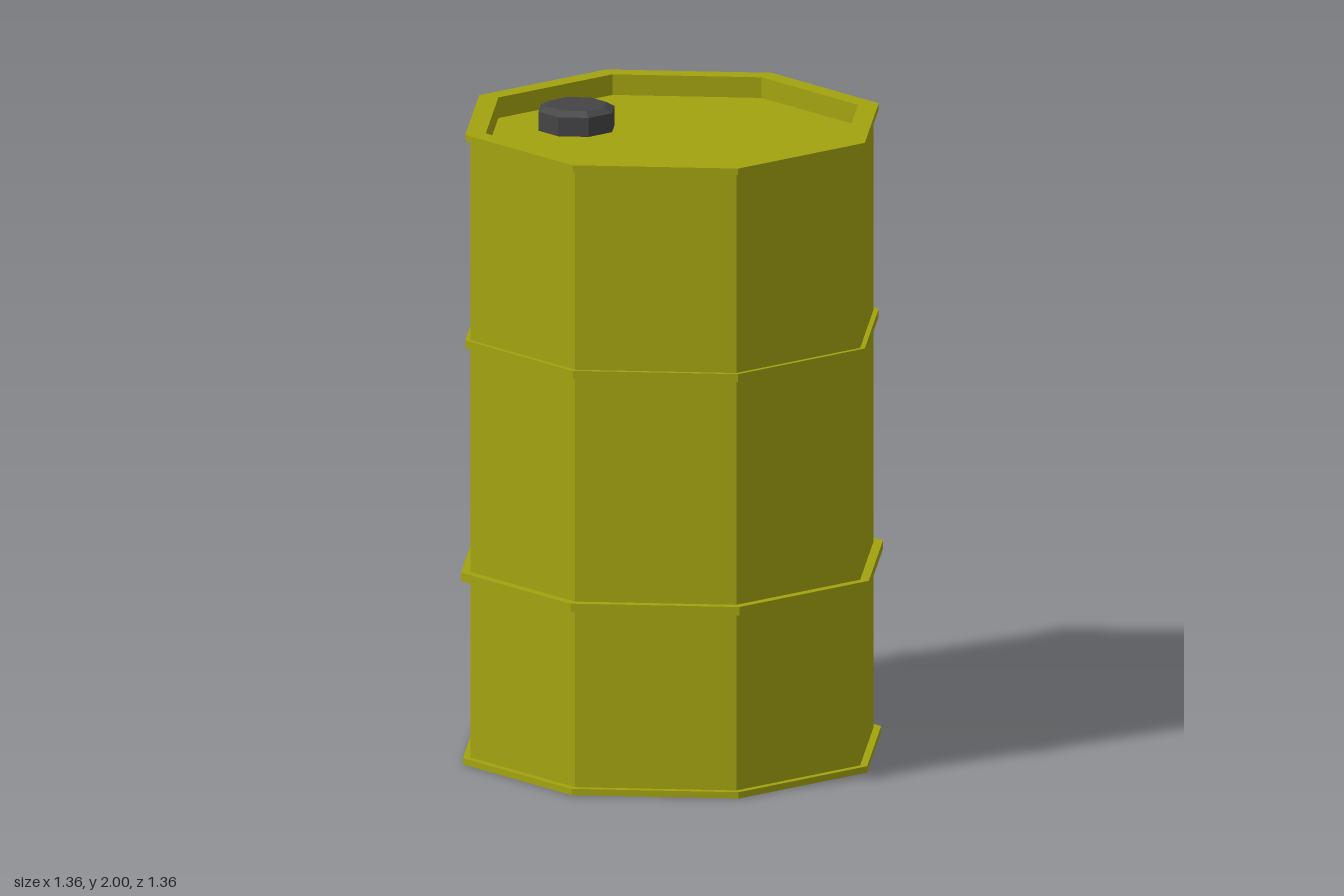
import * as THREE from 'three';

const SIDES = 8;

export function createModel() {
  const barrel = new THREE.Group();
  barrel.name = 'barrel';
  const paint = new THREE.MeshStandardMaterial({ color: 0xa3a310, flatShading: true });
  const plastic = new THREE.MeshStandardMaterial({ color: 0x444446, flatShading: true });

  // Eight-sided turned part; profile runs up the outside as [radius, height]
  const turned = (name, profile, material) => {
    const points = profile.map(([r, y]) => new THREE.Vector2(r, y));
    const mesh = new THREE.Mesh(new THREE.LatheGeometry(points, SIDES), material);
    mesh.name = name;
    barrel.add(mesh);
    return mesh;
  };

  // Drum wall with closed base and recessed lid
  const wall = 0.65, top = 1.99, lid = 1.925;
  turned('drum', [[0, 0], [wall, 0], [wall, top], [0.6, top], [0.6, lid], [0, lid]], paint);

  // Raised hoops around the wall
  const hoops = [
    ['bottomHoop', 0.674, 0, 0.02],
    ['lowerHoop', 0.68, 0.58, 0.607],
    ['upperHoop', 0.666, 1.315, 1.34],
    ['topHoop', 0.666, 1.97, top],
  ];
  for (const [name, r, y0, y1] of hoops) {
    turned(name, [[wall, y0], [r, y0], [r, y1], [wall, y1]], paint);
  }

  // Bevelled filler cap on the lid
  const cap = turned('fillerCap', [[0, 0], [0.123, 0], [0.123, 0.06], [0.095, 0.075], [0, 0.075]], plastic);
  cap.position.set(-0.33, lid, 0);

  return barrel;
}
